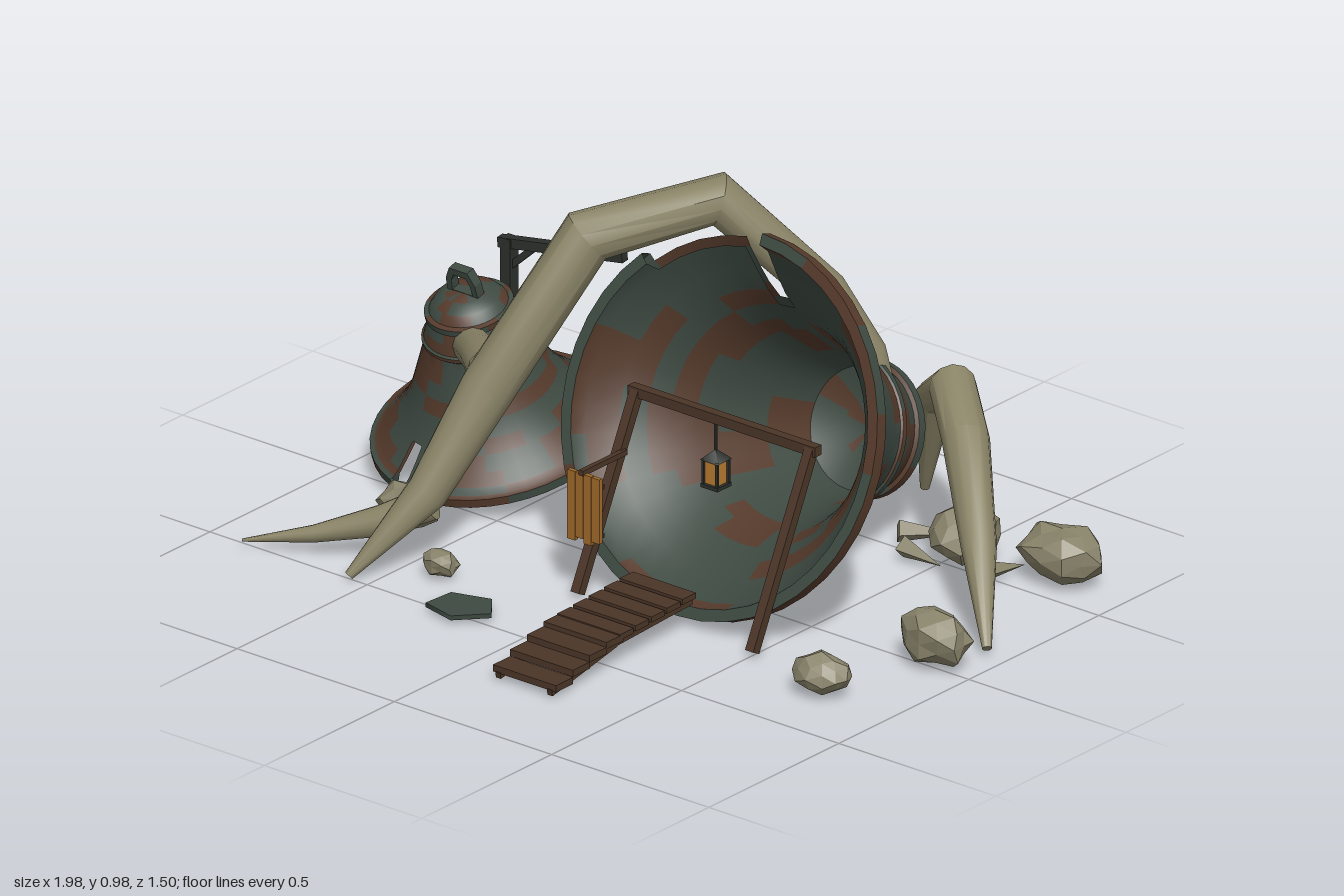
import * as THREE from 'three';
import { toCreasedNormals } from 'three/addons/utils/BufferGeometryUtils.js';

const mat = (name, color, opts = {}) => {
  const m = new THREE.MeshStandardMaterial({ color, ...opts });
  m.name = name;
  return m;
};
const V = (p) => new THREE.Vector3(p[0], p[1], p[2]);

// Bell cross-section as [radius, distance from mouth]: outside downwards, then inside upwards
const PROFILE = [[0, .68], [.08, .675], [.13, .65], [.155, .615], [.175, .61], [.175, .585], [.165, .58],
  [.18, .54], [.195, .5], [.205, .495], [.205, .48], [.2, .475], [.215, .43], [.235, .38], [.26, .32],
  [.285, .26], [.32, .2], [.355, .15], [.4, .1], [.44, .06], [.465, .04], [.485, .035], [.485, 0], [.455, 0],
  [.44, .04], [.38, .1], [.335, .15], [.3, .2], [.265, .26], [.24, .32], [.19, .45], [.155, .58], [.08, .62], [0, .62]];
const SIDES = 40;

export function createModel() {
  const root = new THREE.Group();
  root.name = 'bellRuin';
  const verdigris = mat('verdigris bronze', 0x3e4a42, { side: THREE.DoubleSide });
  const rust = mat('rusty bronze', 0x553a2b, { side: THREE.DoubleSide });
  const bone = mat('bone', 0x8a8467);
  const stone = mat('stone', 0x88836a, { flatShading: true });
  const wood = mat('dark wood', 0x4b3527);
  const plank = mat('light wood', 0xa06a2a);
  const iron = mat('dark iron', 0x2c302c);
  const glow = mat('lantern glow', 0xb87a30);

  let seed = 11;
  const rand = () => (seed = (seed * 16807) % 2147483647) / 2147483647;

  const add = (parent, name, geo, material, pos = [0, 0, 0]) => {
    const m = new THREE.Mesh(geo, material);
    m.name = name;
    m.position.set(...pos);
    parent.add(m);
    return m;
  };
  const box = (parent, name, size, pos, material) =>
    add(parent, name, new THREE.BoxGeometry(...size), material, pos);
  // Square timber between two points
  const beam = (parent, name, a, b, w, material) => {
    const m = box(parent, name, [w, w, V(a).distanceTo(V(b))], [0, 0, 0], material);
    m.position.copy(V(a).add(V(b)).multiplyScalar(.5));
    m.lookAt(V(b));
    return m;
  };

  // Bell shell with rust patches; missing(d, side) cuts the broken places
  function bell(name, missing) {
    const g = new THREE.Group();
    g.name = name;
    const pos = [], clean = [], rusty = [], W = SIDES + 1;
    for (const [r, d] of PROFILE) {
      for (let j = 0; j <= SIDES; j++) {
        const t = j / SIDES * Math.PI * 2;
        pos.push(r * Math.sin(t), d, r * Math.cos(t));
      }
    }
    for (let i = 0; i < PROFILE.length - 1; i++) {
      const d = (PROFILE[i][1] + PROFILE[i + 1][1]) / 2;
      let run = 0, isRust = false;
      for (let j = 0; j < SIDES; j++) {
        if (run-- <= 0) {
          isRust = rand() < .42;
          run = 1 + Math.floor(rand() * 4);
        }
        if (missing(d, j)) continue;
        const a = i * W + j, b = a + W;
        (isRust ? rusty : clean).push(a, b, b + 1, a, b + 1, a + 1);
      }
    }
    let geo = new THREE.BufferGeometry();
    geo.setAttribute('position', new THREE.Float32BufferAttribute(pos, 3));
    geo.setIndex(clean.concat(rusty));
    geo.addGroup(0, clean.length, 0);
    geo.addGroup(clean.length, rusty.length, 1);
    geo = toCreasedNormals(geo, .5);
    add(g, name + 'Shell', geo, [verdigris, rust]);

    // Hanging loop on the crown
    const loop = new THREE.Shape([[-.075, 0], [.075, 0], [.072, .06], [.045, .115], [-.045, .115], [-.072, .06]]
      .map((p) => new THREE.Vector2(...p)));
    loop.holes.push(new THREE.Path([[-.05, .01], [-.046, .055], [-.03, .085], [.03, .085], [.046, .055], [.05, .01]]
      .map((p) => new THREE.Vector2(...p))));
    add(g, name + 'Loop', new THREE.ExtrudeGeometry(loop, { depth: .04, bevelEnabled: false }), verdigris, [0, .67, -.02]);
    root.add(g);
    return g;
  }

  const big = bell('fallenBell', (d, j) => (j === 39 && d < .19) || (j >= 35 && d < .04));
  big.position.set(.235, .475, .035);
  big.rotation.x = -1.918;

  const small = bell('smallBell', (d, j) => (j === 38 && d < .13) || (j > 29 && j < 33 && d < .037));
  small.position.set(-.69, .105, -.225);
  small.rotation.x = .27;
  small.scale.setScalar(.64);

  // Tapered bone through [x, y, z, radius] rings; ref lies off the plane of the curve
  function boneTube(name, pts, ref) {
    const N = 12, pos = [], idx = [], up = V(ref);
    pts.forEach((p, i) => {
      const t = V(pts[Math.min(i + 1, pts.length - 1)]).sub(V(pts[Math.max(i - 1, 0)])).normalize();
      const u = new THREE.Vector3().crossVectors(up, t).normalize();
      const v = new THREE.Vector3().crossVectors(t, u);
      for (let j = 0; j < N; j++) {
        const a = j / N * Math.PI * 2;
        const q = V(p).addScaledVector(u, Math.cos(a) * p[3]).addScaledVector(v, Math.sin(a) * p[3]);
        pos.push(q.x, q.y, q.z);
        if (i < pts.length - 1) {
          const k = i * N + j, l = i * N + (j + 1) % N;
          idx.push(k, l, l + N, k, l + N, k + N);
        }
      }
    });
    const last = (pts.length - 1) * N;
    for (let j = 1; j < N - 1; j++) idx.push(0, j + 1, j, last, last + j, last + j + 1);
    const geo = new THREE.BufferGeometry();
    geo.setAttribute('position', new THREE.Float32BufferAttribute(pos, 3));
    geo.setIndex(idx);
    add(root, name, toCreasedNormals(geo, .56), bone);
  }
  boneTube('archBone', [[-.55, .01, .51, .012], [-.45, .2, .33, .053], [-.38, .45, .18, .07], [-.23, .83, -.02, .073],
    [-.01, .91, -.26, .068], [.19, .66, -.43, .056], [.28, .5, -.49, .043], [.325, .38, -.5, .03], [.315, .27, -.47, .008]], [1, 0, 1]);
  boneTube('rearBone', [[.24, .04, -.75, .012], [.33, .33, -.68, .05], [.47, .43, -.58, .06], [.61, .37, -.46, .06],
    [.8, .2, -.28, .045], [.95, .02, -.13, .012]], [.6, 0, -.7]);
  boneTube('boneSpike', [[-.46, .16, .3, .045], [-.57, .1, .36, .04], [-.72, .05, .44, .022], [-.88, .015, .52, .004]], [0, 1, 0]);
  boneTube('brokenBone', [[-.63, .41, -.06, .048], [-.52, .45, .04, .05], [-.4, .48, .15, .055]], [0, 1, 0]);

  // Rocks: x, z, half width, half height, half depth
  [[-.67, -.66, .135, .07, .09], [-.42, -.59, .11, .085, .08], [-.18, -.53, .105, .06, .095], [.06, -.65, .085, .07, .075],
    [.55, -.53, .09, .08, .09], [.8, -.6, .125, .075, .095], [.885, -.01, .108, .075, .073], [.78, .3, .083, .055, .06],
    [-.64, .17, .09, .06, .065], [-.39, .35, .055, .035, .042]].forEach(([x, z, w, h, d], n) => {
    const geo = new THREE.IcosahedronGeometry(1, 1), p = geo.attributes.position;
    for (let i = 0; i < p.count; i++) {
      const v = new THREE.Vector3().fromBufferAttribute(p, i);
      const s = .95 + .1 * Math.sin(v.x * 5 + v.y * 7 + v.z * 6 + n * 2);
      p.setXYZ(i, v.x * w * s, v.y * h * s, v.z * d * s);
    }
    geo.computeVertexNormals();
    add(root, 'rock', geo, stone, [x, h, z]);
  });

  // Pointed splinters on the ground: x, z, heading, length
  [[-.28, -.36, .9, .18], [-.33, -.51, 1, .14], [-.76, -.55, .8, .14], [.4, -.57, -.5, .15], [.48, -.45, .4, .13], [.68, -.52, -1, .13]]
    .forEach(([x, z, heading, len]) => {
      const geo = new THREE.ConeGeometry(.03, len, 4);
      geo.rotateZ(-Math.PI / 2 - .1);
      const m = add(root, 'splinter', geo, stone, [x, .025, z]);
      m.rotation.y = -heading + .3;
    });
  const shard = add(root, 'bronzeShard', new THREE.CylinderGeometry(.092, .092, .012, 5), verdigris, [-.21, .014, .485]);
  shard.scale.z = .8;
  shard.rotation.y = .3;

  // Leaning doorway frame
  for (const x of [-.05, .505]) beam(root, 'framePost', [x, .01, .235], [x, .48, .005], .026, wood);
  beam(root, 'frameLintel', [-.07, .475, .005], [.525, .475, .005], .026, wood);
  // Plank sign on its arm
  beam(root, 'signArm', [-.035, .338, .07], [-.035, .338, .24], .014, wood);
  for (let i = 0; i < 4; i++) {
    box(root, 'signPlank', [.024, .185 - (i % 2) * .012, .012], [-.07 + i * .026, .242 + (i % 2) * .005, .23], plank);
  }
  for (const y of [.18, .31]) box(root, 'signBatten', [.105, .012, .006], [-.031, y, .221], wood);

  // Lantern under the lintel
  const lantern = new THREE.Group();
  lantern.name = 'lantern';
  lantern.position.set(.2, 0, .005);
  root.add(lantern);
  box(lantern, 'lanternHook', [.006, .09, .006], [0, .425, 0], iron);
  const cap = add(lantern, 'lanternCap', new THREE.ConeGeometry(.04, .028, 4), iron, [0, .376, 0]);
  cap.rotation.y = Math.PI / 4;
  box(lantern, 'lanternGlass', [.038, .066, .038], [0, .33, 0], glow);
  box(lantern, 'lanternBase', [.054, .01, .054], [0, .294, 0], iron);
  for (const x of [-.022, .022]) for (const z of [-.022, .022]) box(lantern, 'lanternBar', [.007, .07, .007], [x, .33, z], iron);

  // Boardwalk, steps and their bearers
  for (let i = 0; i < 5; i++) box(root, 'walkPlank', [.2, .015, .052], [.197, .09 - i * .003, .225 + i * .06], wood);
  [[.51, .073], [.575, .06], [.64, .043], [.705, .024]].forEach(([z, y]) => {
    box(root, 'stepTread', [.2, .018, .066], [.197, y, z], wood);
  });
  for (const x of [.115, .279]) {
    beam(root, 'walkBearer', [x, .072, .2], [x, .06, .49], .016, wood);
    beam(root, 'stepBearer', [x, .058, .49], [x, .01, .74], .016, wood);
  }

  // Bracket post behind the small bell
  beam(root, 'bracketPost', [-.875, .01, -.5], [-.875, .48, -.5], .032, iron);
  beam(root, 'bracketArm', [-.9, .465, -.495], [-.545, .505, -.545], .026, iron);
  beam(root, 'bracketBrace', [-.875, .4, -.5], [-.8, .47, -.51], .018, iron);
  return root;
}
